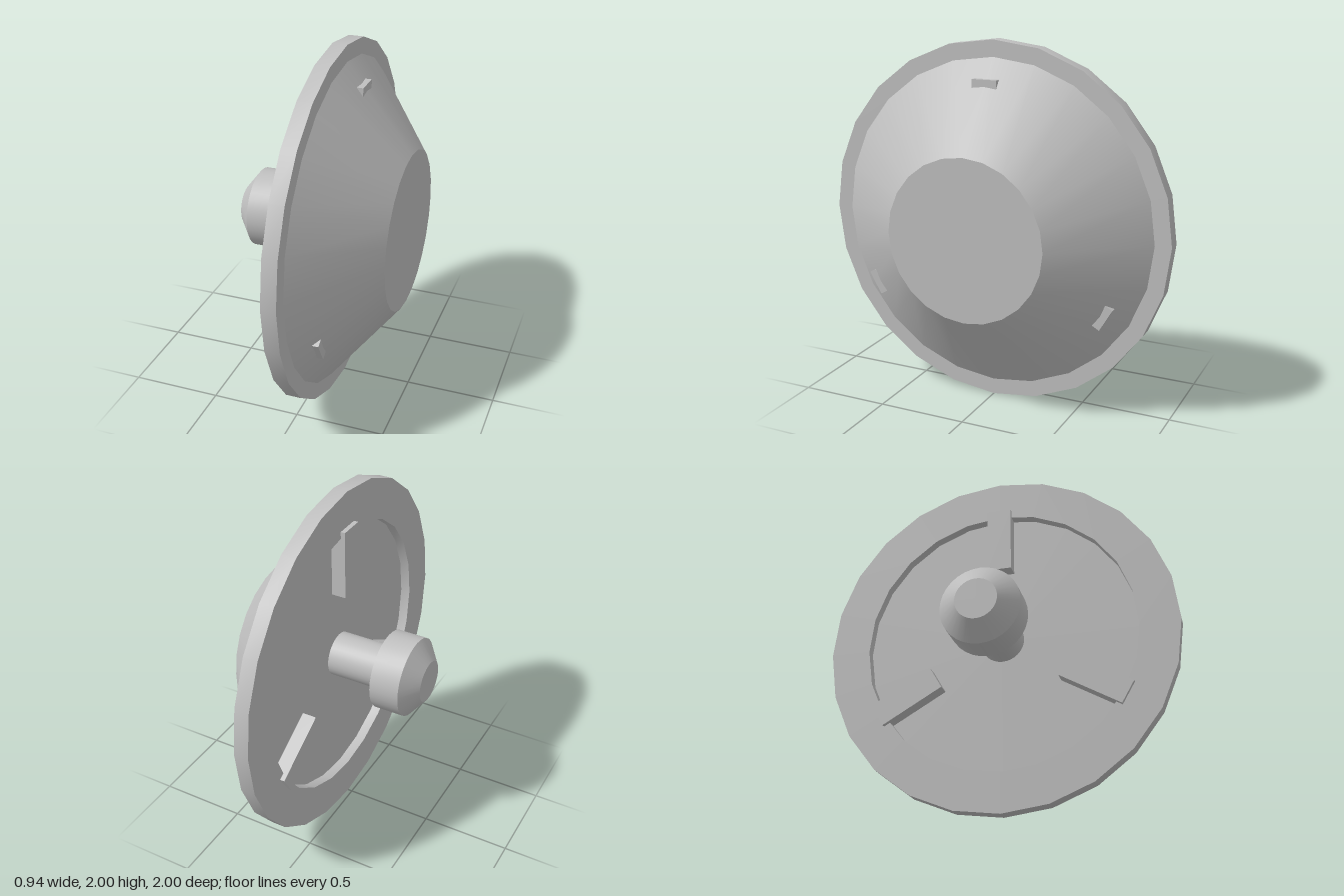
import * as THREE from 'three';
import { toCreasedNormals } from 'three/addons/utils/BufferGeometryUtils.js';

const grey = new THREE.MeshStandardMaterial({ color: 0xc0c0c0 });
grey.name = 'plain grey';

// Turned part about the x axis; profile is [radius, x] running from -x to +x
function turned(name, profile, segments) {
  const lathe = new THREE.LatheGeometry(profile.map(([r, x]) => new THREE.Vector2(r, x)), segments);
  lathe.rotateZ(-Math.PI / 2);
  const mesh = new THREE.Mesh(toCreasedNormals(lathe, Math.PI / 7), grey);
  mesh.name = name;
  return mesh;
}

export function createModel() {
  const model = new THREE.Group();
  model.name = 'conicalCap';
  const body = new THREE.Group();
  body.name = 'body';
  body.position.y = 1;
  model.add(body);

  // Flanged cone with a shallow recess in its back
  body.add(turned('flangedCone', [
    [0, 0.08], [0.775, 0.08], [0.775, 0.025], [1, 0.025],
    [1, 0.107], [0.91, 0.107], [0.445, 0.468], [0, 0.468],
  ], 24));

  // Stem and chamfered knob
  body.add(turned('stemAndKnob', [
    [0, -0.472], [0.115, -0.472], [0.22, -0.392], [0.22, -0.226],
    [0.124, -0.226], [0.124, 0.085],
  ], 32));

  // Three radial ribs whose outer corners break through the cone
  for (let i = 0; i < 3; i++) {
    const rib = new THREE.Mesh(new THREE.BoxGeometry(0.217, 0.385, 0.14), grey);
    rib.geometry.translate(0.1085, 0.6125, 0);
    rib.rotation.x = (i * Math.PI * 2) / 3;
    rib.name = 'rib' + (i + 1);
    body.add(rib);
  }
  return model;
}
